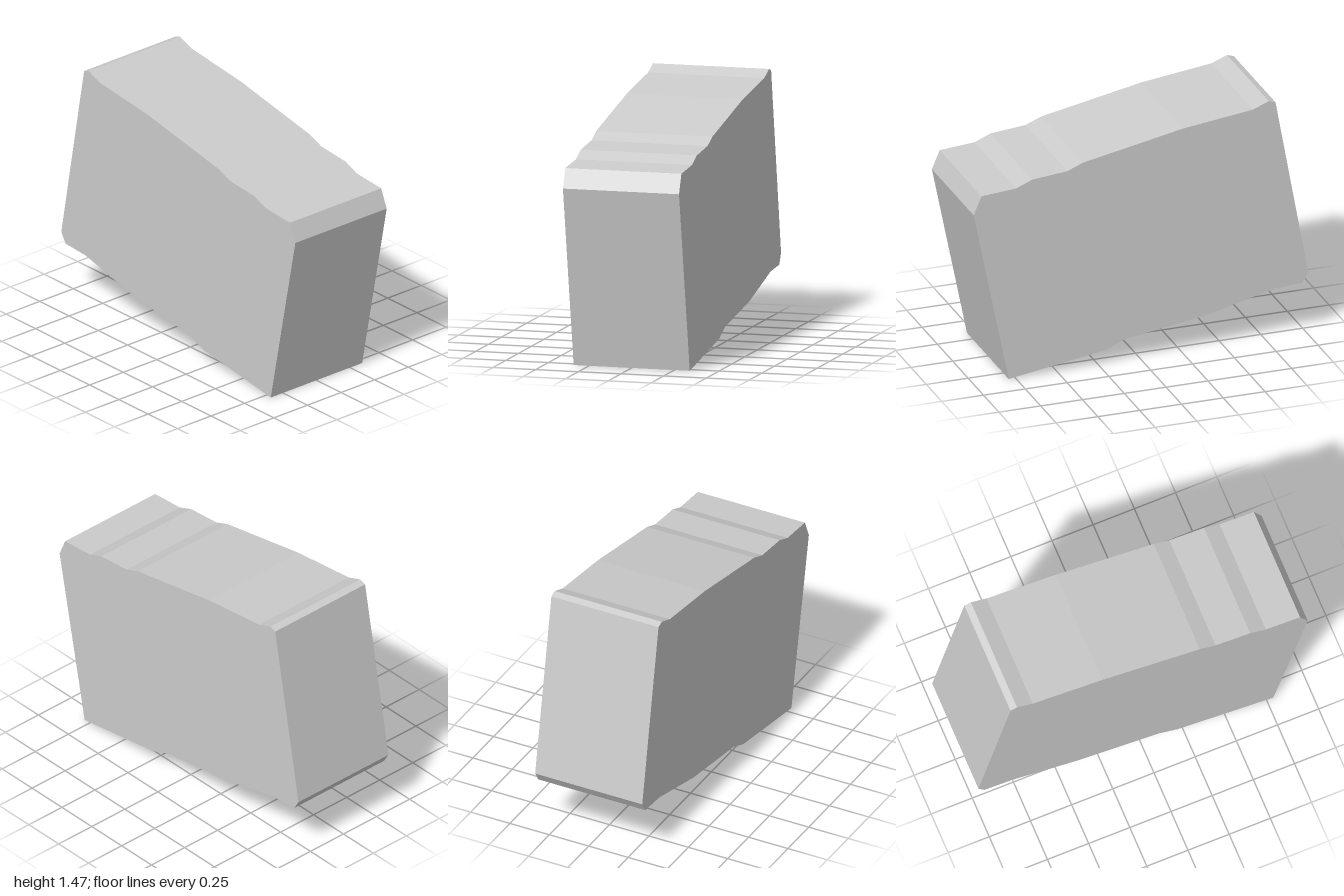
import * as THREE from 'three';

export function createModel() {
  const group = new THREE.Group();
  group.name = 'stoneBlock';
  const depth = 0.68;

  // Tilted slab outline with chipped upper and lower edges, counter-clockwise
  const lowerEdge = [
    [-1, 0.382], [-0.963, 0.322], [-0.795, 0.311], [-0.385, 0.209],
    [0.1, 0.138], [0.21, 0.09], [0.79, 0],
  ];
  const upperEdge = [
    [1, 1.038], [0.953, 1.147], [0.745, 1.164], [0.65, 1.203], [0.44, 1.223],
    [0.345, 1.261], [-0.25, 1.378], [-0.67, 1.431], [-0.765, 1.468], [-0.805, 1.455],
  ];
  const outline = new THREE.Shape(
    [...lowerEdge, ...upperEdge].map(([x, y]) => new THREE.Vector2(x, y))
  );

  // Straight extrusion from back to front, centred on z
  const geometry = new THREE.ExtrudeGeometry(outline, { depth, bevelEnabled: false });
  geometry.translate(0, 0, -depth / 2);

  const block = new THREE.Mesh(
    geometry,
    new THREE.MeshStandardMaterial({ color: 0xcccccc, flatShading: true })
  );
  block.name = 'chippedBlock';
  group.add(block);
  return group;
}
